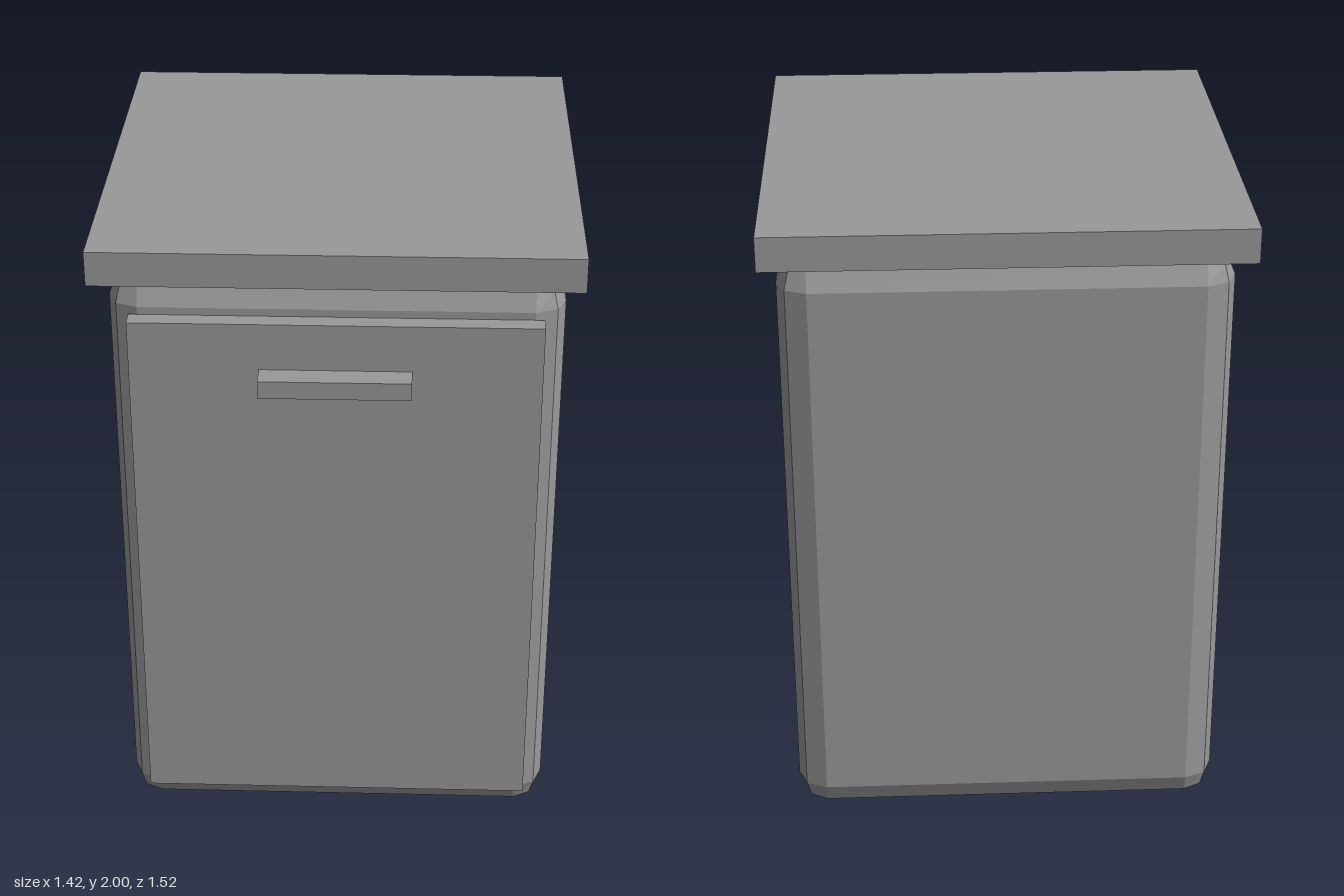
import * as THREE from 'three';
import { RoundedBoxGeometry } from 'three/addons/geometries/RoundedBoxGeometry.js';

export function createModel() {
  const group = new THREE.Group();
  group.name = 'cabinet';

  const grey = new THREE.MeshStandardMaterial({ color: 0x999999, flatShading: true });
  grey.name = 'grey';

  function add(name, geometry, x, y, z) {
    const mesh = new THREE.Mesh(geometry, grey);
    mesh.name = name;
    mesh.position.set(x, y, z);
    group.add(mesh);
  }

  // Box spanning min to max in y and z, centred on x
  function addBox(name, width, y0, y1, z0, z1) {
    add(name, new THREE.BoxGeometry(width, y1 - y0, z1 - z0), 0, (y0 + y1) / 2, (z0 + z1) / 2);
  }

  // Carcass with two-facet rounded edges
  add('body', new RoundedBoxGeometry(1.328, 1.893, 1.33, 1, 0.09), 0, 0.9465, -0.036);

  // Overhanging worktop
  addBox('worktop', 1.42, 1.895, 2, -0.758, 0.685);

  // Front door and its handle
  addBox('door', 1.2, 0.115, 1.78, 0.629, 0.684);
  addBox('handle', 0.444, 1.58, 1.635, 0.684, 0.758);

  return group;
}
